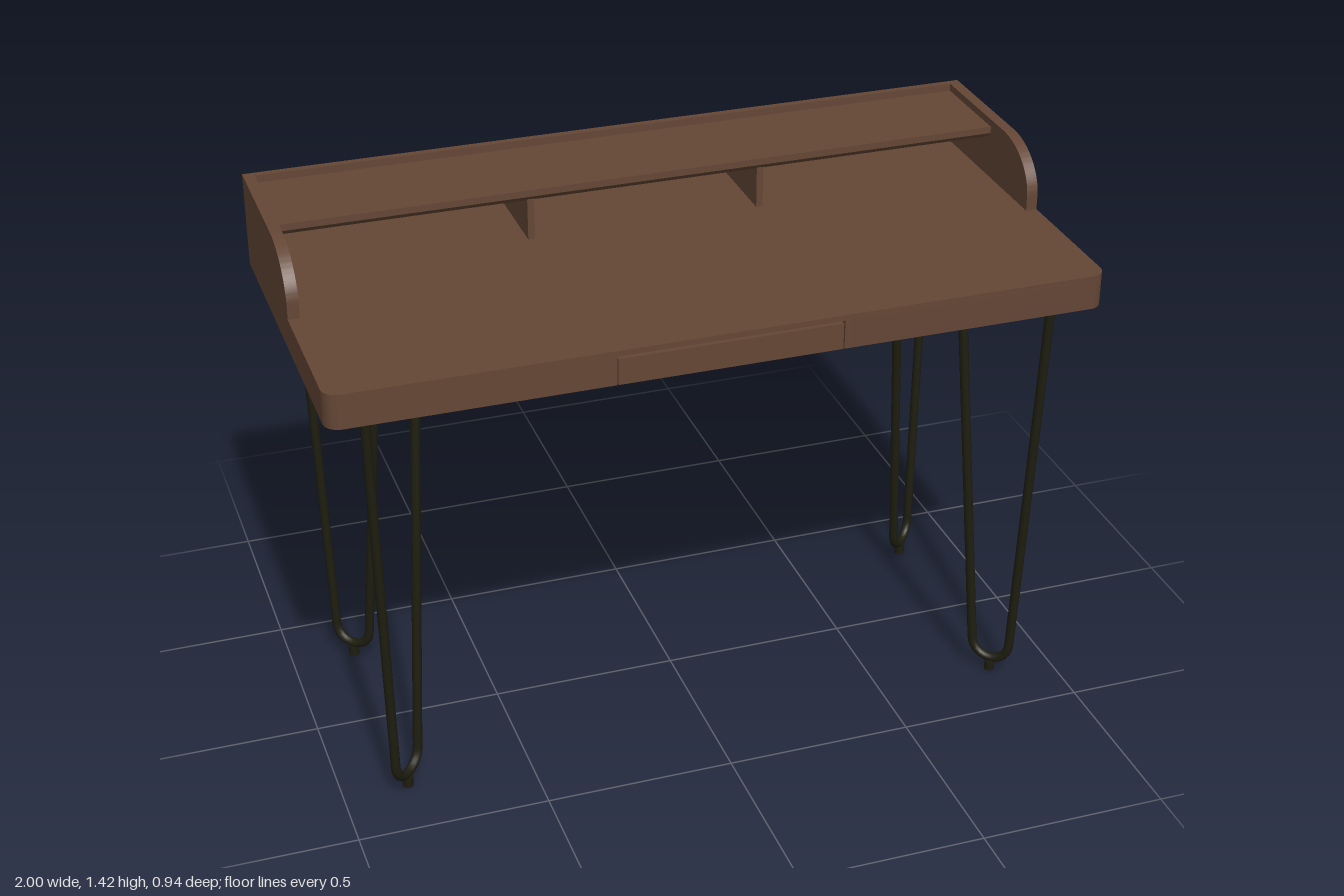
import * as THREE from 'three';
import { toCreasedNormals } from 'three/addons/utils/BufferGeometryUtils.js';

export function createModel() {
  const desk = new THREE.Group();
  desk.name = 'writingDesk';

  const wood = new THREE.MeshStandardMaterial({ color: 0x644635 });
  wood.name = 'walnut wood';
  const metal = new THREE.MeshStandardMaterial({ color: 0x1d1d10 });
  metal.name = 'dark metal';

  const add = (name, geometry, material = wood, parent = desk) => {
    const mesh = new THREE.Mesh(geometry, material);
    mesh.name = name;
    parent.add(mesh);
    return mesh;
  };
  const box = (name, x0, x1, y0, y1, z0, z1) =>
    add(name, new THREE.BoxGeometry(x1 - x0, y1 - y0, z1 - z0))
      .position.set((x0 + x1) / 2, (y0 + y1) / 2, (z0 + z1) / 2);
  const extrude = (shape, depth) => toCreasedNormals(
    new THREE.ExtrudeGeometry(shape, { depth, bevelEnabled: false, curveSegments: 14 }), 0.6);

  // Main dimensions
  const W = 1, D = 0.47, bottom = 1.17, top = 1.262, crown = 1.424;
  const panel = 0.03, slotTop = 1.247;

  // Desktop outline with rounded front corners and an optional drawer notch
  const outline = (notched) => {
    const r = 0.04, s = new THREE.Shape();
    s.moveTo(-W, D);
    s.lineTo(-W, -D + r);
    s.absarc(-W + r, -D + r, r, Math.PI, Math.PI * 1.5, false);
    if (notched) {
      s.lineTo(-0.292, -D);
      s.lineTo(-0.292, -0.15);
      s.lineTo(0.292, -0.15);
      s.lineTo(0.292, -D);
    }
    s.absarc(W - r, -D + r, r, -Math.PI / 2, 0, false);
    s.lineTo(W, D);
    return s;
  };
  const slab = (name, y0, y1, notched) =>
    add(name, extrude(outline(notched), y1 - y0).rotateX(-Math.PI / 2)).position.y = y0;
  slab('desktopBody', bottom, slotTop, true);
  slab('desktopTop', slotTop, top, false);
  box('drawer', -0.289, 0.289, bottom, slotTop - 0.007, -0.15, D);

  // Side panels with a curved front shoulder
  const side = new THREE.Shape();
  side.moveTo(-D, top);
  side.lineTo(0.06, top);
  side.lineTo(0.06, 1.3);
  side.absellipse(-0.105, 1.3, 0.165, crown - 1.3, 0, Math.PI / 2, false);
  side.lineTo(-D, crown);
  for (const [name, x] of [['leftSidePanel', W], ['rightSidePanel', -W + panel]]) {
    add(name, extrude(side, panel).rotateY(-Math.PI / 2)).position.x = x;
  }

  // Back panel and upright dividers
  const inner = W - panel;
  box('backPanel', -inner, inner, top, crown, -D, -D + 0.02);
  for (const x of [-0.313, 0.313]) {
    box('divider', x - 0.009, x + 0.009, top, 1.375, -D + 0.02, -0.19);
  }

  // Shelf with a chamfer under its front edge
  const shelf = new THREE.Shape([
    [-D + 0.02, 1.372], [-0.193, 1.372], [-0.18, 1.386], [-0.18, 1.404], [-D + 0.02, 1.404],
  ].map(([z, y]) => new THREE.Vector2(z, y)));
  add('shelf', extrude(shelf, inner * 2).rotateY(-Math.PI / 2)).position.x = inner;

  // Hairpin legs, each lying in the diagonal plane of its corner
  for (const sx of [-1, 1]) for (const sz of [-1, 1]) {
    const p = (x, y, z) => new THREE.Vector3(sx * x, y, sz * z);
    const outerTop = p(0.893, bottom + 0.01, 0.389), outerLow = p(0.865, 0.09, 0.354);
    const innerLow = p(0.789, 0.09, 0.279), innerTop = p(0.724, bottom + 0.01, 0.206);
    const path = new THREE.CurvePath();
    path.add(new THREE.LineCurve3(outerTop, outerLow));
    path.add(new THREE.CubicBezierCurve3(
      outerLow, p(0.863, 0.021, 0.352), p(0.793, 0.021, 0.283), innerLow));
    path.add(new THREE.LineCurve3(innerLow, innerTop));

    const leg = new THREE.Group();
    leg.name = (sz > 0 ? 'front' : 'back') + (sx > 0 ? 'Left' : 'Right') + 'Leg';
    desk.add(leg);
    add('hairpinRod', new THREE.TubeGeometry(path, 160, 0.0125, 10, false), metal, leg);
    add('foot', new THREE.CylinderGeometry(0.014, 0.014, 0.03, 14), metal, leg)
      .position.copy(p(0.828, 0.015, 0.318));
  }

  return desk;
}
